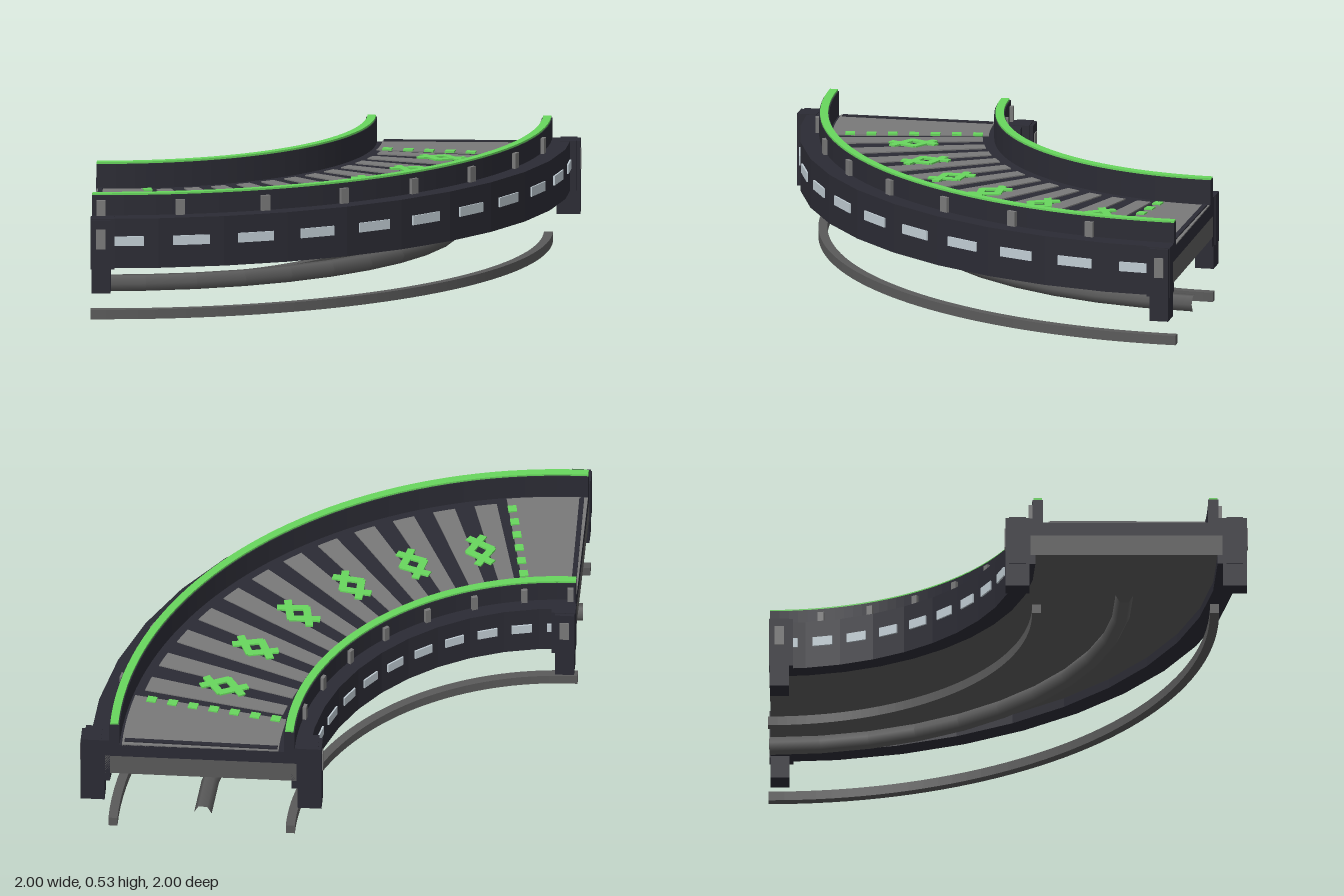
import * as THREE from 'three';

const mat = (name, color) => {
  const m = new THREE.MeshStandardMaterial({ color });
  m.name = name;
  return m;
};
const DEG = Math.PI / 180;

// Flat ring sector: radii r0..r1, heights y0..y1, angles a0..a1 in degrees
function sector(r0, r1, y0, y1, a0 = 0, a1 = 90, n = 44) {
  const pts = [];
  const add = (r, a) => pts.push(new THREE.Vector2(r * Math.sin(a * DEG), -r * Math.cos(a * DEG)));
  for (let i = 0; i <= n; i++) add(r1, a0 + (a1 - a0) * i / n);
  for (let i = n; i >= 0; i--) add(r0, a0 + (a1 - a0) * i / n);
  const g = new THREE.ExtrudeGeometry(new THREE.Shape(pts), { depth: y1 - y0, bevelEnabled: false });
  return g.rotateX(-Math.PI / 2).translate(0, y0, 0);
}

export function createModel() {
  const root = new THREE.Group();
  root.name = 'curvedConveyor';
  const curve = new THREE.Group(); // origin at the centre of the bend
  curve.name = 'bend';
  curve.position.set(-0.992, 0, -0.992);
  root.add(curve);

  const dark = mat('dark frame', 0x2b2b34);
  const slatGrey = mat('slat grey', 0x797979);
  const steel = mat('steel grey', 0x5a5a5a);
  const green = mat('green', 0x68d65d);
  const pale = mat('pale plate', 0xc0ccd3);

  const add = (name, geo, m, parent = curve) => {
    const mesh = new THREE.Mesh(geo, m);
    mesh.name = name;
    parent.add(mesh);
    return mesh;
  };
  // Local z points outward along the radius, local x along the bend
  const place = (name, geo, m, r, deg, y) => {
    const mesh = add(name, geo, m);
    mesh.position.set(r * Math.sin(deg * DEG), y, r * Math.cos(deg * DEG));
    mesh.rotation.y = deg * DEG;
    return mesh;
  };

  // Deck
  add('deckBase', sector(1.09, 1.89, 0.27, 0.36), steel);
  add('deckTop', sector(1.09, 1.89, 0.36, 0.42), dark);

  // Side walls, guards and green trim
  add('outerWall', sector(1.87, 1.955, 0.23, 0.44, 0, 90, 11), dark);
  add('innerWall', sector(1.035, 1.11, 0.23, 0.44, 0, 90, 11), dark);
  add('outerGuard', sector(1.83, 1.873, 0.42, 0.525), dark);
  add('innerGuard', sector(1.097, 1.142, 0.42, 0.525), dark);
  add('outerTrim', sector(1.835, 1.869, 0.525, 0.533), green);
  add('innerTrim', sector(1.102, 1.137, 0.525, 0.533), green);

  // Pale plates on every wall panel
  const step = 90 / 11;
  const flat = Math.cos(step / 2 * DEG);
  for (let i = 0; i < 11; i++) {
    const a = (i + 0.5) * step;
    place('outerPlate', new THREE.BoxGeometry(0.155, 0.04, 0.008), pale, 1.955 * flat + 0.003, a, 0.345);
    place('innerPlate', new THREE.BoxGeometry(0.085, 0.04, 0.008), pale, 1.035 * flat - 0.003, a, 0.345);
  }

  // Guard brackets
  for (let i = 0; i < 8; i++) {
    const a = i ? i * 11.25 : 1.1;
    place('outerBracket', new THREE.BoxGeometry(0.038, 0.065, 0.022), slatGrey, 1.877, a, 0.472);
    place('innerBracket', new THREE.BoxGeometry(0.025, 0.065, 0.022), slatGrey, 1.093, a, 0.472);
  }

  // Corner posts: a broad post, a wall sleeve and a small outside plate
  for (const [a, s] of [[0, 1], [90, -1]]) {
    for (const [r, out] of [[1.942, 1], [1.035, -1]]) {
      const post = new THREE.Group();
      post.name = 'cornerPost';
      post.position.set(r * Math.sin(a * DEG), 0, r * Math.cos(a * DEG));
      post.rotation.y = a * DEG;
      curve.add(post);
      add('post', new THREE.BoxGeometry(0.08, 0.31, 0.1), dark, post).position.set(s * 0.039, 0.285, 0);
      add('postSleeve', new THREE.BoxGeometry(0.1, 0.213, 0.07), dark, post).position.set(s * 0.045, 0.3365, 0);
      add('postPlate', new THREE.BoxGeometry(0.04, 0.085, 0.008), slatGrey, post)
        .position.set(s * 0.039, 0.36, out * 0.05);
    }
  }

  // End panels, their dark lips and the dashed green lines
  for (const [a0, a1, lip, dash] of [[0, 10.7, 0.8, 10.2], [79.3, 90, 89.2, 79.8]]) {
    add('endPanel', sector(1.165, 1.82, 0.418, 0.425, a0, a1, 5), slatGrey);
    place('endLip', new THREE.BoxGeometry(0.02, 0.012, 0.64), dark, 1.49, lip, 0.425);
    for (let i = 0; i < 7; i++)
      place('dash', new THREE.BoxGeometry(0.036, 0.008, 0.04), green, 1.21 + i * 0.089, dash, 0.427);
  }

  // Slats
  for (let i = 0; i < 12; i++) {
    const a = 13.65 + i * 5.7;
    add('slat', sector(1.19, 1.79, 0.418, 0.425, a - 1.5, a + 1.5, 2), slatGrey);
  }

  // Diamond markers made from four crossing bars
  for (let i = 0; i < 6; i++) {
    const a = (16.5 + i * 11.4) * DEG;
    const marker = new THREE.Group();
    marker.name = 'diamondMarker';
    marker.position.set(1.483 * Math.sin(a), 0.428, 1.483 * Math.cos(a));
    marker.rotation.y = a;
    curve.add(marker);
    for (const s of [-1, 1]) for (const e of [-1, 1]) {
      const dx = -s * 0.086, dz = e * 0.098;
      const bar = add('bar', new THREE.BoxGeometry(Math.hypot(dx, dz), 0.008, 0.032), green, marker);
      bar.position.set(s * 0.01, 0, e * 0.044);
      bar.rotation.y = Math.atan2(-dz, dx);
    }
  }

  // Floor rails
  add('outerRail', sector(1.838, 1.876, 0, 0.04, -0.24, 90.24), steel);
  add('innerRail', sector(1.096, 1.134, 0, 0.04, -0.4, 90.4), steel);

  // Centre pipe: straight open six-sided lengths laid end to end
  const R = 1.477, tube = 0.037;
  const length = 2 * (R + tube) * Math.tan(step / 2 * DEG);
  for (let i = 0; i < 11; i++) {
    const pipe = new THREE.CylinderGeometry(tube, tube, length, 6, 1, true).rotateZ(Math.PI / 2);
    place('pipeLength', pipe, steel, R, (i + 0.5) * step, 0.083);
  }
  return root;
}
